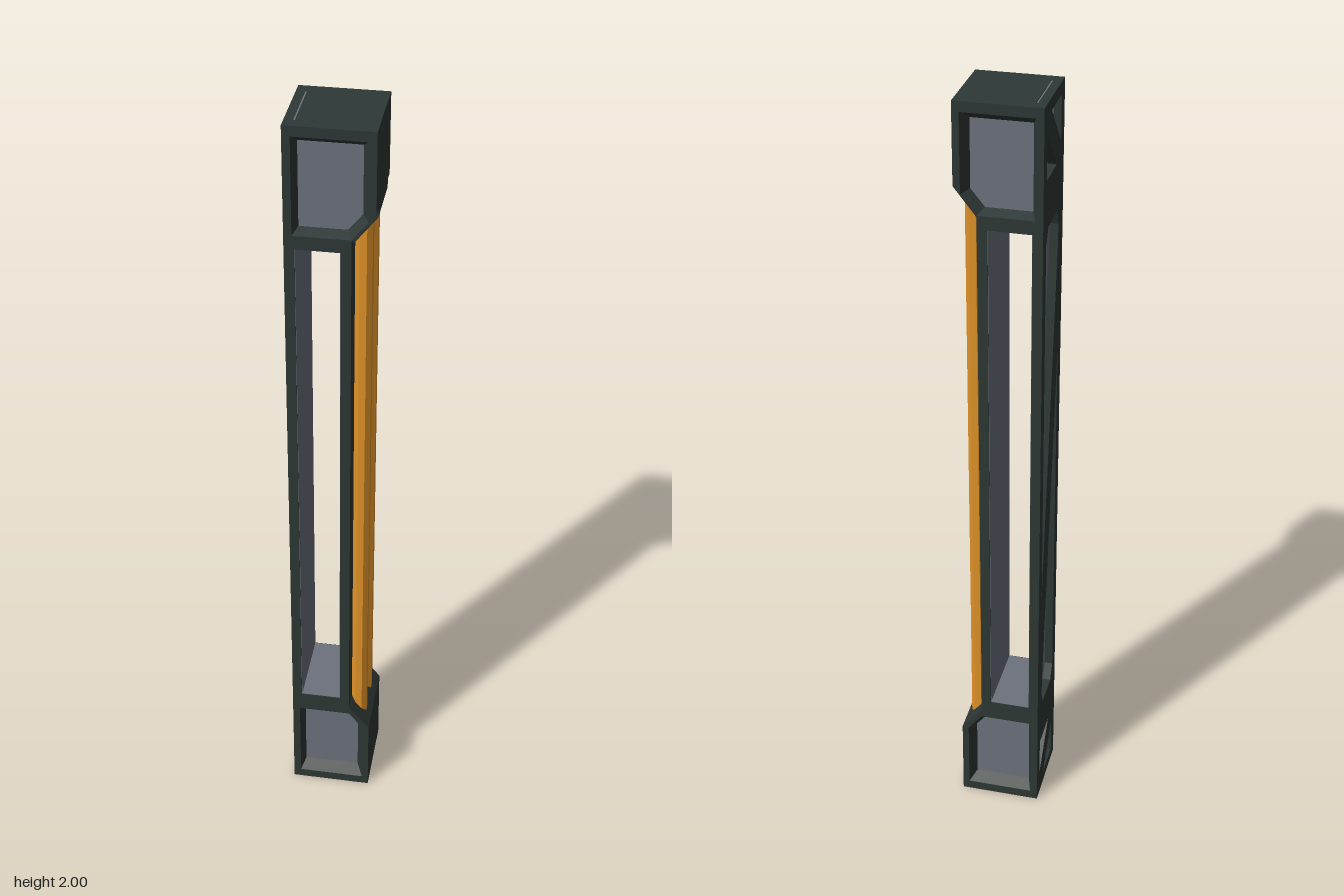
import * as THREE from 'three';

const material = (name, color) => new THREE.MeshStandardMaterial({ name, color });

// Mirror a counter-clockwise outline top to bottom, keeping its direction
const flip = pts => pts.map(([u, y]) => [u, 2 - y]).reverse();
// Turn an outline half a turn about mid height
const turn = pts => pts.map(([u, y]) => [-u, 2 - y]);
const toVectors = pts => pts.map(([a, b]) => new THREE.Vector2(a, b));

function extrude(outline, holes, depth) {
  const shape = new THREE.Shape(toVectors(outline));
  holes.forEach(h => shape.holes.push(new THREE.Path(toVectors(h))));
  return new THREE.ExtrudeGeometry(shape, { depth, bevelEnabled: false });
}

// Sloping walls between an outer outline at z0 and an inner one at z1
function slopedRing(outer, inner, z0, z1) {
  const pos = [];
  outer.forEach((a, i) => {
    const j = (i + 1) % outer.length;
    const quad = [[...a, z0], [...outer[j], z0], [...inner[j], z1], [...inner[i], z1]];
    const order = z0 > 0 ? [0, 1, 2, 0, 2, 3] : [0, 2, 1, 0, 3, 2];
    order.forEach(k => pos.push(...quad[k]));
  });
  const geo = new THREE.BufferGeometry();
  geo.setAttribute('position', new THREE.Float32BufferAttribute(pos, 3));
  geo.computeVertexNormals();
  return geo;
}

export function createModel() {
  const model = new THREE.Group();
  model.name = 'framedPillar';
  const dark = material('darkMetal', 0x2e3836);
  const grey = material('greyPanel', 0x6c727d);
  const orange = material('orangeTube', 0xe09228);

  const add = (name, geo, mat, x = 0, y = 0, z = 0) => {
    const mesh = new THREE.Mesh(geo, mat);
    mesh.name = name;
    mesh.position.set(x, y, z);
    model.add(mesh);
    return mesh;
  };
  const box = (name, mat, x0, x1, y0, y1, z0, z1) =>
    add(name, new THREE.BoxGeometry(x1 - x0, y1 - y0, z1 - z0), mat,
      (x0 + x1) / 2, (y0 + y1) / 2, (z0 + z1) / 2);

  const Z = 0.105, ZC = 0.075;

  // Outlines seen from the front
  const profile = [[-0.105, 0], [0.105, 0], [0.105, 0.22], [0.05, 0.29],
    [0.05, 1.73], [0.105, 1.8], [0.105, 2], [-0.105, 2]];
  const opening = [[-0.08, 0.32], [0.025, 0.32], [0.025, 1.7], [-0.08, 1.7]];
  const recess = [[-0.086, 0.025], [0.088, 0.025], [0.088, 0.218], [0.05, 0.266], [-0.086, 0.266]];
  const panel = [[-0.075, 0.046], [0.071, 0.046], [0.071, 0.213], [0.037, 0.255], [-0.075, 0.255]];

  // Front and back frames with sloped recesses and grey end panels
  for (const s of [1, -1]) {
    const side = s > 0 ? 'front' : 'back';
    add(side + 'Frame', extrude(profile, [opening, recess, flip(recess)], Z - ZC), dark,
      0, 0, s > 0 ? ZC : -Z);
    for (const [end, map] of [['Lower', p => p], ['Upper', flip]]) {
      add(side + end + 'RecessWalls', slopedRing(map(recess), map(panel), s * Z, s * ZC), dark);
      add(side + end + 'Panel', extrude(map(recess), [], 0.004), grey,
        0, 0, s > 0 ? ZC - 0.003 : -ZC - 0.001);
    }
  }

  // Solid end blocks and the shaft wall between the frames
  const block = [[-0.08, 0], [0.105, 0], [0.105, 0.22], [0.05, 0.29], [0.05, 0.319], [-0.08, 0.319]];
  const upperBlock = flip(block).map(([x, y]) => [x, y < 1.7 ? 1.701 : y]);
  add('lowerBlock', extrude(block, [], 2 * ZC - 0.006), dark, 0, 0, -ZC + 0.003);
  add('upperBlock', extrude(upperBlock, [], 2 * ZC - 0.006), dark, 0, 0, -ZC + 0.003);
  // Close the narrow gaps beside the grey panels
  for (const s of [1, -1]) {
    const z = s > 0 ? ZC - 0.003 : -ZC;
    add('lowerBlockEdge', extrude(block, [recess], 0.003), dark, 0, 0, z);
    add('upperBlockEdge', extrude(upperBlock, [flip(recess)], 0.003), dark, 0, 0, z);
  }
  box('shaftWall', dark, 0.0255, 0.05, 0.28, 1.72, -ZC, ZC);

  // Grey lining of the long opening
  const L = Z - 0.002;
  box('rightLining', grey, -0.081, -0.079, 0.32, 1.7, -L, L);
  box('leftLining', grey, 0.024, 0.026, 0.32, 1.7, -L, L);
  box('floorLining', grey, -0.08, 0.025, 0.319, 0.321, -L, L);
  box('ceilingLining', grey, -0.08, 0.025, 1.699, 1.701, -L, L);

  // Braced side wall, drawn as (z, y), with a grey backing
  const longCut = [[-0.073, 0.67], [0.055, 1.6], [0.06, 1.66], [0.045, 1.7], [-0.05, 1.7], [-0.073, 1.66]];
  const outerCut = [[0.073, 0.03], [0.073, 0.14], [-0.03, 0.03]];
  const innerCut = [[-0.073, 0.07], [0.03, 0.18], [-0.073, 0.18]];
  const cuts = [longCut, turn(longCut), outerCut, flip(outerCut), innerCut, flip(innerCut)];
  const wall = [[-ZC, 0], [ZC, 0], [ZC, 2], [-ZC, 2]];
  add('bracedWall', extrude(wall, cuts, 0.021).rotateY(-Math.PI / 2), dark, -0.084);
  box('bracedWallBacking', grey, -0.084, -0.08, 0.001, 1.999, -ZC, ZC);

  // Pair of tubes running between the chamfered ends
  for (const z of [0.046, -0.044]) {
    const tube = new THREE.CylinderGeometry(0.022, 0.022, 1.58, 8).rotateY(Math.PI / 8).toNonIndexed();
    tube.computeVertexNormals();
    add('tube', tube, orange, 0.071, 1.01, z);
  }
  return model;
}
